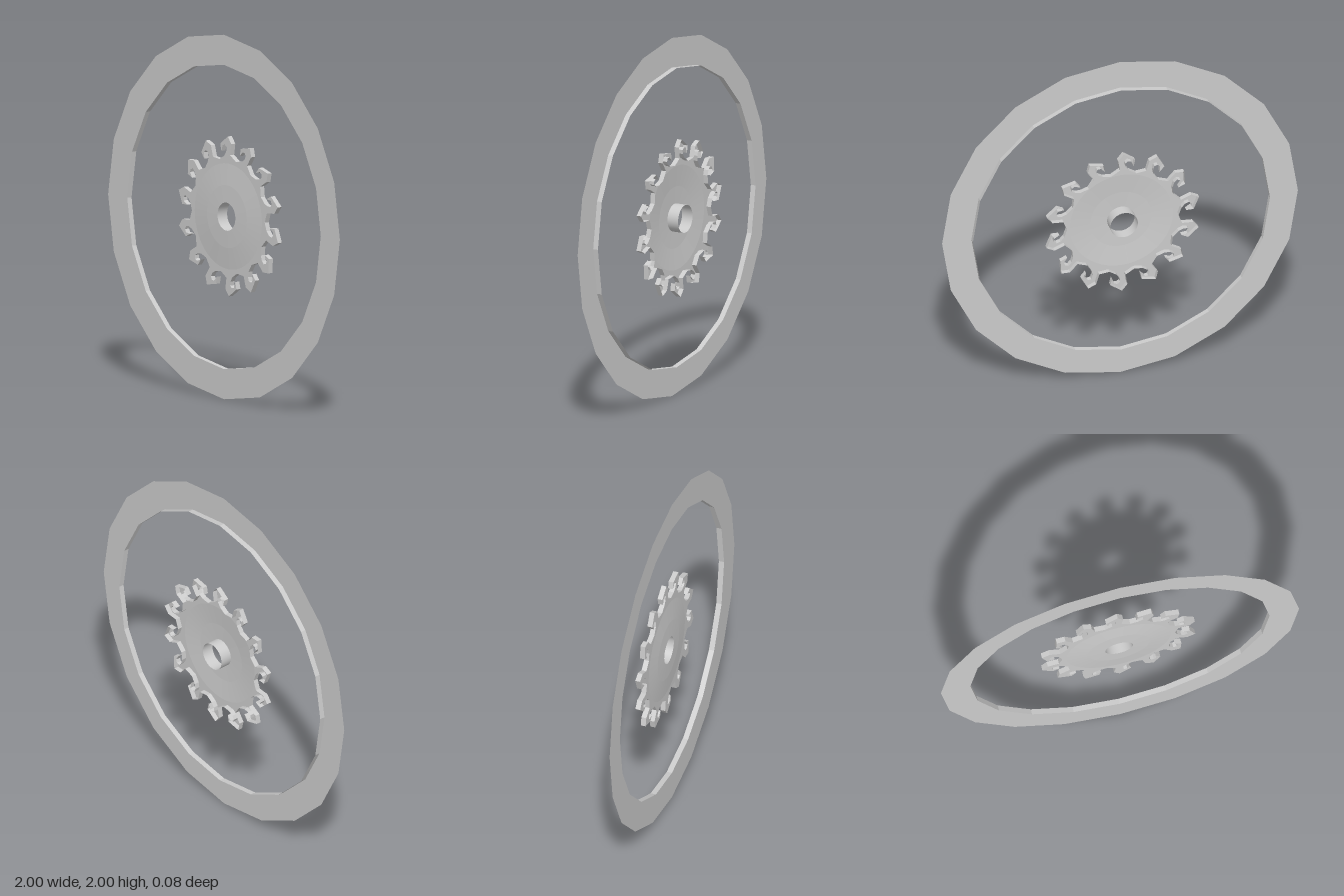
import * as THREE from 'three';

const flat = new THREE.MeshStandardMaterial({ color: 0xcccccc, side: THREE.DoubleSide, flatShading: true });
const smooth = new THREE.MeshStandardMaterial({ color: 0xcccccc, side: THREE.DoubleSide });

// Open wall standing along a closed outline, from z0 to z1
function wallGeometry(points, z0, z1) {
  const pos = [];
  points.forEach((a, i) => {
    const b = points[(i + 1) % points.length];
    pos.push(a.x, a.y, z0, b.x, b.y, z0, b.x, b.y, z1);
    pos.push(a.x, a.y, z0, b.x, b.y, z1, a.x, a.y, z1);
  });
  const g = new THREE.BufferGeometry();
  g.setAttribute('position', new THREE.Float32BufferAttribute(pos, 3));
  g.computeVertexNormals();
  return g;
}

export function createModel() {
  const model = new THREE.Group();
  const add = (name, geometry, material, z = 0) => {
    const mesh = new THREE.Mesh(geometry, material);
    mesh.name = name;
    mesh.position.set(0, 1, z);
    model.add(mesh);
  };

  // Outer ring: front face and inner lip
  const sides = 20, inner = 0.835;
  add('ringFace', new THREE.RingGeometry(inner, 1, sides), flat, 0.042);
  const lip = new THREE.CylinderGeometry(inner, inner, 0.03, sides, 1, true).rotateX(Math.PI / 2);
  add('ringInnerWall', lip, flat, 0.027);

  // Hooked teeth, one profile repeated clockwise around the rotor
  const teeth = 14;
  const tooth = [
    [-0.075, 0.305], [-0.035, 0.33], [-0.018, 0.355], [-0.015, 0.378], [-0.03, 0.39],
    [-0.048, 0.385], [-0.06, 0.352], [-0.07, 0.392], [-0.005, 0.438], [0.026, 0.4], [0.016, 0.338],
  ].map(([x, y]) => new THREE.Vector2(x, y));
  const outline = [];
  for (let i = 0; i < teeth; i++) {
    const turn = -i * Math.PI * 2 / teeth;
    tooth.forEach(p => outline.push(p.clone().rotateAround(new THREE.Vector2(), turn)));
  }
  const shape = new THREE.Shape(outline);
  shape.holes.push(new THREE.Path().absarc(0, 0, 0.29, 0, Math.PI * 2, true));
  add('teethFace', new THREE.ShapeGeometry(shape, 24), flat, 0.012);
  add('teethWall', wallGeometry(outline, -0.016, 0.012), flat);

  // Slightly domed rotor plate with a flatter centre
  const revolve = pts => new THREE.LatheGeometry(pts.map(p => new THREE.Vector2(...p)), 48).rotateX(Math.PI / 2);
  add('rotorPlate', revolve([[0.29, 0.012], [0.172, 0.022]]), smooth);
  add('rotorCentre', revolve([[0.172, 0.022], [0.077, 0.025]]), smooth);

  // Hub sleeve projecting to the rear
  add('hubSleeve', revolve([[0.077, 0.025], [0.077, -0.042]]), smooth);

  return model;
}
